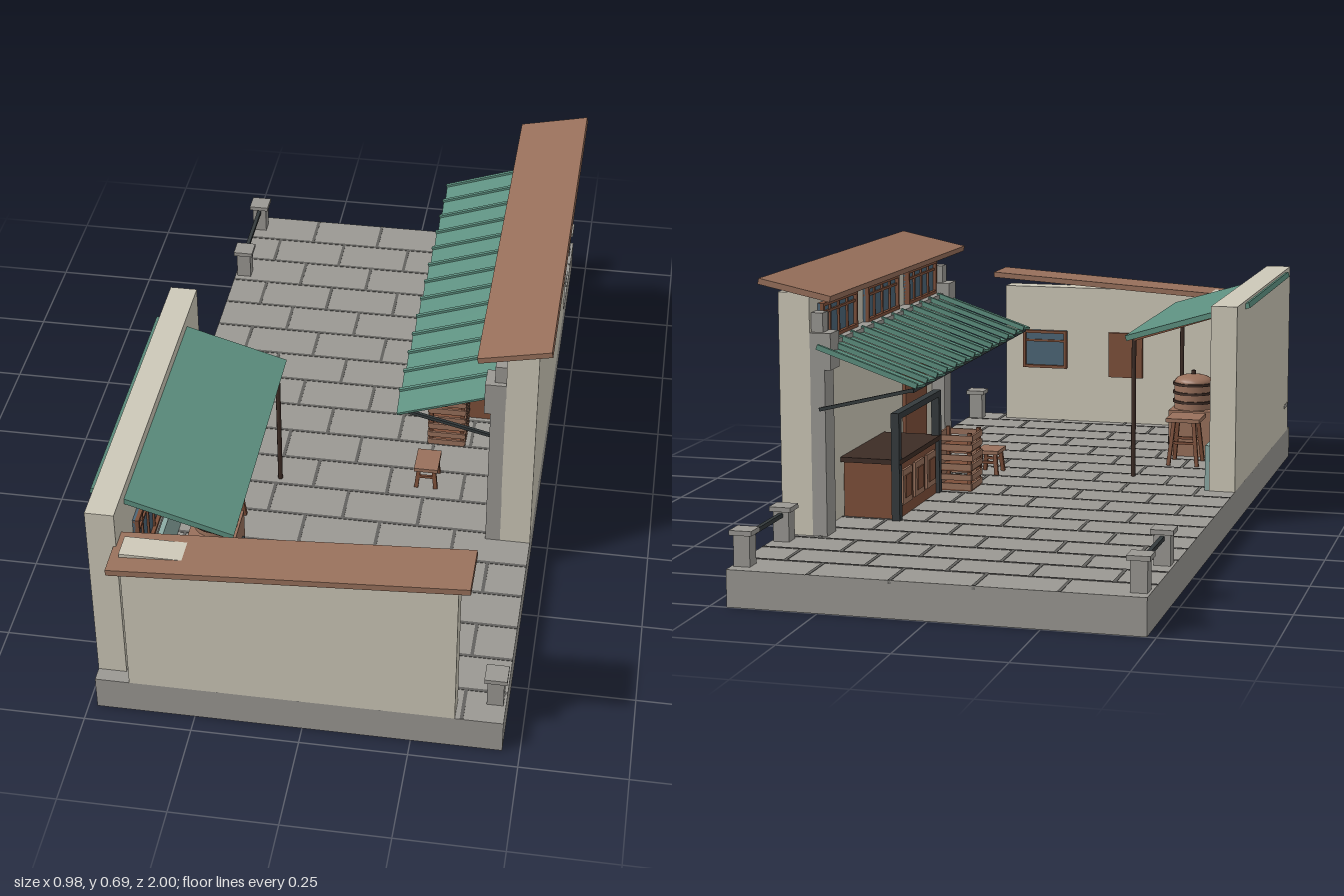
import * as THREE from 'three';

const mat = (name, color) => {
  const m = new THREE.MeshStandardMaterial({ color });
  m.name = name;
  return m;
};

export function createModel() {
  const M = {
    cream: mat('cream plaster', 0xcdc8b8), stone: mat('grey stone', 0x9a9893),
    joint: mat('paving joint', 0x62615e), brown: mat('terracotta brown', 0x98705b),
    wood: mat('wood', 0x7d4f39), dark: mat('dark timber', 0x3d2c25),
    teal: mat('teal awning', 0x5d9080), pale: mat('pale teal paint', 0x8caaa4),
    glass: mat('blue glass', 0x4c6677), metal: mat('dark metal', 0x343a3c),
  };
  const root = new THREE.Group();
  root.name = 'streetCorner';

  const add = (name, geo, m, x, y, z, parent = root) => {
    const mesh = new THREE.Mesh(geo, m);
    mesh.name = name;
    mesh.position.set(x, y, z);
    parent.add(mesh);
    return mesh;
  };
  // box given by its limits on each axis
  const box = (name, m, x0, x1, y0, y1, z0, z1, parent = root) =>
    add(name, new THREE.BoxGeometry(x1 - x0, y1 - y0, z1 - z0), m,
      (x0 + x1) / 2, (y0 + y1) / 2, (z0 + z1) / 2, parent);
  // slab sloping along x between two centre points
  const slope = (name, m, x0, y0, x1, y1, t, z0, z1, parent = root) => {
    const s = add(name, new THREE.BoxGeometry(Math.hypot(x1 - x0, y1 - y0), t, z1 - z0), m,
      (x0 + x1) / 2, (y0 + y1) / 2, (z0 + z1) / 2, parent);
    s.rotation.z = Math.atan2(y1 - y0, x1 - x0);
    return s;
  };
  const group = (name, x, y, z, ry = 0) => {
    const g = new THREE.Group();
    g.name = name;
    g.position.set(x, y, z);
    g.rotation.y = ry;
    root.add(g);
    return g;
  };
  const G = 0.085; // ground level

  // Paved base with staggered joints
  box('base', M.stone, -0.48, 0.46, 0, G, -1, 0.955);
  const row = 0.1093;
  for (let i = 0; i < 18; i++) {
    const z0 = -1 + i * row, z1 = Math.min(z0 + row, 0.955);
    if (i) box('rowJoint', M.joint, -0.48, 0.46, G - 0.004, G + 0.001, z0 - 0.004, z0 + 0.004);
    for (let x = i % 2 ? -0.385 : -0.29; x < 0.44; x += 0.1875)
      box('crossJoint', M.joint, x - 0.004, x + 0.004, G - 0.008, G + 0.001, z0, z1);
  }

  // Bollards and rails
  for (const x of [-0.455, 0.435]) {
    for (const z of [-0.95, -0.71, 0.88]) {
      box('bollard', M.stone, x - 0.019, x + 0.019, G, 0.156, z - 0.019, z + 0.019);
      box('bollardCap', M.stone, x - 0.026, x + 0.026, 0.156, 0.167, z - 0.026, z + 0.026);
    }
    box('rail', M.metal, x - 0.005, x + 0.005, 0.142, 0.152, -0.94, -0.72);
  }

  // Window: faces local +z, centred on its origin
  const windowUnit = (name, x, y, z, ry, w, h, bars, sill) => {
    const g = group(name, x, y, z, ry), f = 0.008;
    box('pane', M.glass, -w / 2, w / 2, -h / 2, h / 2, 0, 0.006, g);
    for (const s of [-1, 1]) {
      box('frameSide', M.wood, s * (w / 2 - f / 2) - f / 2, s * (w / 2 - f / 2) + f / 2, -h / 2, h / 2, 0, 0.015, g);
      box('frameRail', M.wood, -w / 2, w / 2, s * (h / 2 - f / 2) - f / 2, s * (h / 2 - f / 2) + f / 2, 0, 0.015, g);
    }
    for (let i = 1; i <= bars; i++) {
      const bx = -w / 2 + w * i / (bars + 1);
      box('mullion', M.wood, bx - 0.003, bx + 0.003, -h / 2, h / 2, 0, 0.011, g);
    }
    box('crossBar', M.wood, -w / 2, w / 2, h * 0.2, h * 0.2 + 0.006, 0, 0.011, g);
    if (sill) box('sill', M.stone, -w / 2 - 0.008, w / 2 + 0.008, -h / 2 - 0.012, -h / 2, 0, 0.018, g);
  };

  // Left wall with painted dado, windows and awning
  box('leftWall', M.cream, -0.48, -0.414, G, 0.555, 0.05, 0.92);
  box('leftDado', M.pale, -0.414, -0.402, G, 0.2, 0.055, 0.9);
  for (const z of [0.675, 0.3]) windowUnit('leftWindow', -0.414, 0.345, z, Math.PI / 2, 0.205, 0.152, 3, true);
  slope('leftAwning', M.teal, -0.49, 0.544, -0.17, 0.447, 0.014, 0.17, 0.83);
  for (const z of [0.18, 0.82]) {
    slope('awningRafter', M.wood, -0.414, 0.518, -0.19, 0.446, 0.012, z - 0.005, z + 0.005);
    add('awningPost', new THREE.CylinderGeometry(0.006, 0.006, 0.36, 8), M.dark, -0.19, G + 0.18, z);
  }

  // Front wall with sloping coping
  box('frontWall', M.cream, -0.4, 0.35, G, 0.477, 0.895, 0.955);
  slope('frontRoof', M.brown, -0.42, 0.459, 0.38, 0.511, 0.015, 0.87, 1);
  windowUnit('frontWallWindow', 0.23, 0.295, 0.895, Math.PI, 0.13, 0.11, 0, false);
  box('noticeBoard', M.wood, -0.06, 0.04, 0.22, 0.35, 0.885, 0.895);

  // Right building
  box('shopWall', M.cream, 0.385, 0.46, G, 0.652, -0.655, 0.335);
  slope('shopRoof', M.brown, 0.318, 0.645, 0.49, 0.681, 0.014, -0.7, 0.36);
  for (const z of [-0.625, 0.305]) {
    box('shopColumn', M.stone, 0.35, 0.386, G, 0.5, z - 0.03, z + 0.03);
    box('columnHead', M.stone, 0.335, 0.386, 0.475, 0.56, z - 0.03, z + 0.03);
    box('columnFinial', M.stone, 0.357, 0.386, 0.56, 0.605, z - 0.018, z + 0.018);
  }
  box('shopLedge', M.stone, 0.352, 0.386, 0.522, 0.533, -0.655, 0.335);
  for (const z of [-0.48, -0.16, 0.16]) windowUnit('transom', 0.385, 0.577, z, -Math.PI / 2, 0.24, 0.088, 3, false);

  // Shop awning of overlapping tilted panels
  const n = 13, step = 1 / n;
  for (let i = 0; i < n; i++) {
    const z = -0.68 + i * step;
    const p = slope('awningPanel', M.teal, 0.125, 0.445, 0.36, 0.525, 0.006, z, z + step + 0.006);
    p.rotation.order = 'ZXY';
    p.rotation.x = 0.12;
    slope('awningRib', M.teal, 0.122, 0.451, 0.36, 0.532, 0.012, z, z + 0.009);
  }
  for (const z of [-0.665, -0.18, 0.305])
    slope('awningBrace', M.metal, 0.36, 0.385, 0.135, 0.44, 0.008, z - 0.004, z + 0.004);
  box('awningBar', M.metal, 0.133, 0.141, 0.434, 0.442, -0.67, 0.31);

  // Shop counter and its frame
  box('counter', M.wood, 0.245, 0.38, G, 0.22, -0.45, -0.14);
  box('counterTop', M.dark, 0.235, 0.385, 0.22, 0.232, -0.46, -0.13);
  for (const z of [-0.39, -0.295, -0.2]) {
    box('counterPanel', M.brown, 0.239, 0.245, 0.115, 0.2, z - 0.036, z + 0.036);
    box('counterInset', M.wood, 0.236, 0.239, 0.13, 0.185, z - 0.022, z + 0.022);
  }
  for (const z of [-0.455, -0.135]) box('counterPost', M.metal, 0.236, 0.256, G, 0.34, z - 0.01, z + 0.01);
  box('counterBeam', M.metal, 0.236, 0.256, 0.33, 0.345, -0.465, -0.125);
  box('shopDoor', M.wood, 0.376, 0.385, G, 0.36, 0.02, 0.2);

  // Slatted crates
  for (let k = 0; k < 3; k++) {
    const y = G + k * 0.05, s = 0.046;
    const g = group('crate', 0.21, y, -0.06);
    box('crateFloor', M.wood, -s, s, 0, 0.008, -s, s, g);
    for (const a of [-1, 1]) {
      for (const h of [0.004, 0.027]) {
        box('slatX', M.brown, -s, s, h, h + 0.015, a * s - 0.003, a * s + 0.003, g);
        box('slatZ', M.brown, a * s - 0.003, a * s + 0.003, h, h + 0.015, -s, s, g);
      }
      for (const b of [-1, 1])
        box('crateCorner', M.wood, a * (s - 0.006) - 0.005, a * (s - 0.006) + 0.005, 0, 0.048,
          b * (s - 0.006) - 0.005, b * (s - 0.006) + 0.005, g);
    }
  }

  // Stools and tables share one pattern: top, splayed legs and stretchers
  const stool = (name, x, y, z, w, d, h, m) => {
    const g = group(name, x, y, z);
    box('seat', m, -w / 2, w / 2, h - 0.01, h, -d / 2, d / 2, g);
    for (const a of [-1, 1]) {
      for (const b of [-1, 1]) {
        const leg = box('leg', M.wood, -0.005, 0.005, 0, h - 0.008, -0.005, 0.005, g);
        leg.position.x = a * w * 0.36;
        leg.position.z = b * d * 0.36;
        leg.rotation.set(-b * 0.1, 0, a * 0.1);
      }
      box('stretcher', M.wood, -w * 0.36, w * 0.36, h * 0.45, h * 0.45 + 0.007, a * d * 0.36 - 0.003, a * d * 0.36 + 0.003, g);
    }
  };
  stool('shopStool', 0.18, G, 0.13, 0.06, 0.08, 0.065, M.brown);
  stool('table', -0.29, G, 0.665, 0.09, 0.1, 0.128, M.brown);
  stool('table', -0.29, G, 0.375, 0.09, 0.1, 0.128, M.brown);
  stool('smallStool', -0.29, 0.213, 0.665, 0.045, 0.045, 0.05, M.dark);

  // Brick stove with stacked steamer
  box('stove', M.brown, -0.34, -0.225, G, 0.21, 0.463, 0.577);
  box('stoveMouth', M.metal, -0.225, -0.219, 0.11, 0.152, 0.49, 0.55);
  for (let i = 0; i < 3; i++) {
    const y = 0.21 + i * 0.024;
    add('steamerTier', new THREE.CylinderGeometry(0.052, 0.052, 0.024, 20), M.brown, -0.282, y + 0.012, 0.52);
    add('steamerBand', new THREE.CylinderGeometry(0.056, 0.056, 0.007, 20), M.dark, -0.282, y + 0.02, 0.52);
  }
  const lid = add('steamerLid', new THREE.SphereGeometry(0.052, 20, 6, 0, Math.PI * 2, 0, Math.PI / 2), M.brown, -0.282, 0.282, 0.52);
  lid.scale.y = 0.4;
  add('lidKnob', new THREE.CylinderGeometry(0.006, 0.006, 0.012, 10), M.dark, -0.282, 0.307, 0.52);

  return root;
}
